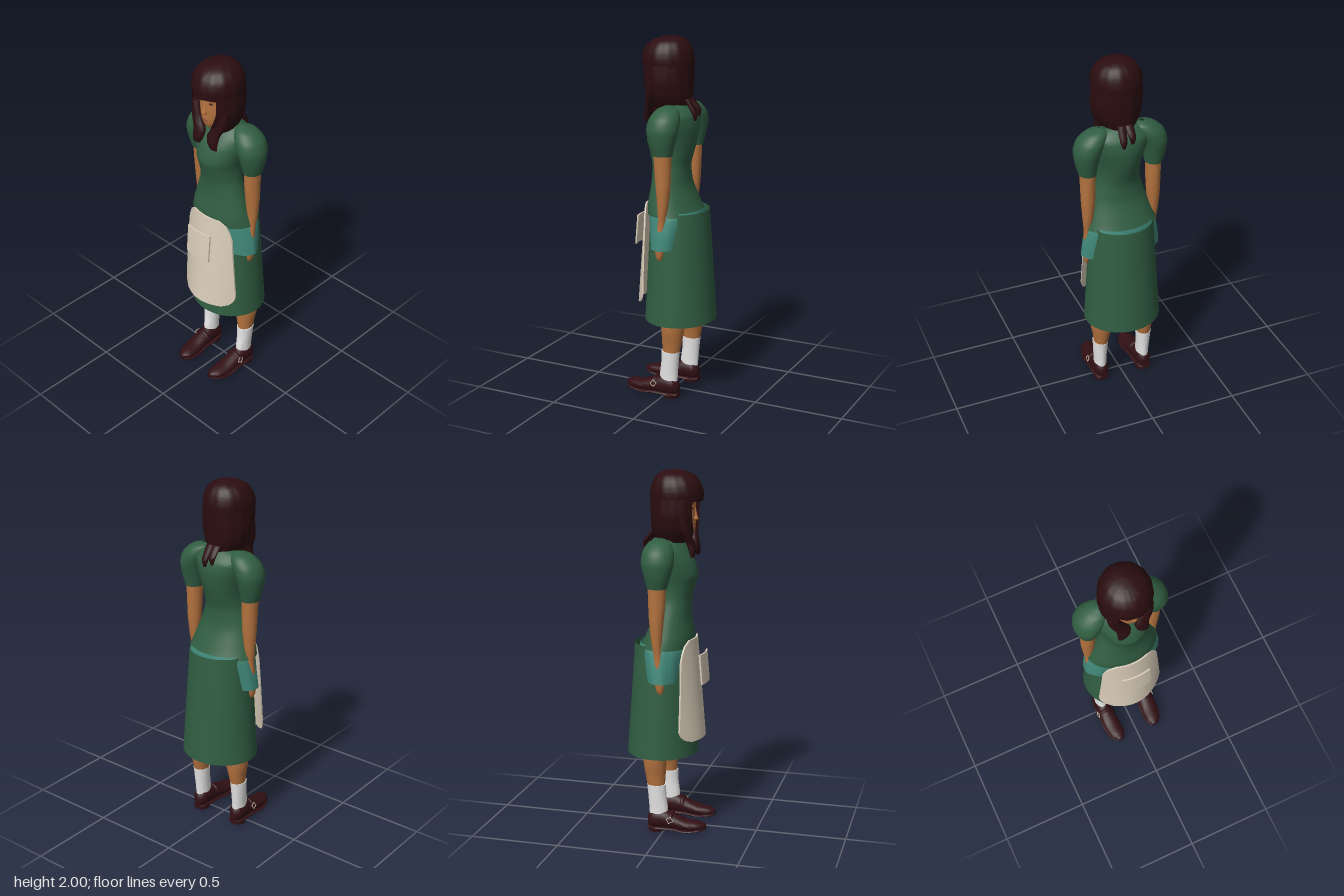
import * as THREE from 'three';
import { toCreasedNormals } from 'three/addons/utils/BufferGeometryUtils.js';

const material = (name, color, side = THREE.FrontSide) => {
  const m = new THREE.MeshStandardMaterial({ color, side });
  m.name = name;
  return m;
};

// Smooth loft through elliptical sections [y, cx, cz, rx, rz, gap], listed bottom to top.
// gap is the half angle left open at the front; ripple adds strand ridges.
function loft(sections, { n = 28, cap = true, ripple = 0, steps = 5 } = {}) {
  const centre = new THREE.CatmullRomCurve3(sections.map(s => new THREE.Vector3(s[1], s[0], s[2])), false, 'catmullrom', 0.4);
  const size = new THREE.CatmullRomCurve3(sections.map(s => new THREE.Vector3(s[3], s[4], s[5] || 0)), false, 'catmullrom', 0.4);
  const rows = (sections.length - 1) * steps;
  const open = sections.some(s => s[5]);
  const pos = [], index = [];
  for (let j = 0; j <= rows; j++) {
    const c = centre.getPoint(j / rows), r = size.getPoint(j / rows);
    for (let i = 0; i <= n; i++) {
      const k = open ? i : i % n;
      const a = r.z + (k / n) * (2 * Math.PI - 2 * r.z);
      const f = 1 + ripple * Math.sin(a * 13 + j * 0.12);
      pos.push(c.x + Math.sin(a) * r.x * f, c.y, c.z + Math.cos(a) * r.y * f);
    }
  }
  const w = n + 1;
  for (let j = 0; j < rows; j++) for (let i = 0; i < n; i++) {
    const a = j * w + i;
    index.push(a, a + 1, a + w + 1, a, a + w + 1, a + w);
  }
  if (cap && !open) {
    for (const [j, flip] of [[0, true], [rows, false]]) {
      const c = centre.getPoint(j / rows), m = pos.length / 3;
      pos.push(c.x, c.y, c.z);
      for (let i = 0; i < n; i++) {
        const a = j * w + i;
        index.push(m, flip ? a + 1 : a, flip ? a : a + 1);
      }
    }
  }
  const g = new THREE.BufferGeometry();
  g.setAttribute('position', new THREE.Float32BufferAttribute(pos, 3));
  g.setIndex(index);
  return toCreasedNormals(g, 0.9);
}

// Piecewise linear lookup in [[t, value], ...]
function lookup(table, t) {
  let i = 1;
  while (i < table.length - 1 && table[i][0] < t) i++;
  const [a, b] = [table[i - 1], table[i]];
  return THREE.MathUtils.mapLinear(t, a[0], b[0], a[1], b[1]);
}

// Thin curved cloth panel shaped by rule(u, v) -> [x, y, z], u in -1..1, v in 0..1
function panel(thickness, rule) {
  const g = new THREE.BoxGeometry(2, 1, thickness, 24, 40, 1), p = g.attributes.position;
  for (let i = 0; i < p.count; i++) {
    const [x, y, z] = rule(p.getX(i), p.getY(i) + 0.5);
    p.setXYZ(i, x, y, z + p.getZ(i));
  }
  return toCreasedNormals(g, 0.7);
}

export function createModel() {
  const root = new THREE.Group();
  root.name = 'woman';
  const green = material('greenCloth', 0x315e42, THREE.DoubleSide);
  const skin = material('skin', 0xb5733f);
  const hair = material('darkHair', 0x2b0d10, THREE.DoubleSide);
  const leather = material('shoeLeather', 0x321014);
  const cream = material('apronCream', 0xdacdb9);
  const teal = material('tealCloth', 0x41897a, THREE.DoubleSide);
  const white = material('sockWhite', 0xf0f0f0);
  const lips = material('lips', 0x934f3a);
  const metal = material('buckleMetal', 0xc9bda4);

  const add = (name, geometry, mat, parent = root) => {
    const m = new THREE.Mesh(geometry, mat);
    m.name = name;
    parent.add(m);
    return m;
  };

  // Clothes: open skirt, teal underlayer and fitted blouse
  add('skirt', loft([[0.435, 0, -0.04, 0.218, 0.196], [1.06, 0, -0.035, 0.177, 0.158]], { n: 56, cap: false }), green);
  add('underlayer', loft([
    [0.865, 0, -0.01, 0.228, 0.11], [0.95, 0, -0.015, 0.217, 0.125],
    [1.03, 0, -0.02, 0.2, 0.142], [1.065, 0, -0.02, 0.185, 0.138],
  ], { n: 48, cap: false, ripple: 0.012 }), teal);
  add('blouse', loft([
    [1.045, 0, -0.012, 0.206, 0.143], [1.1, 0, 0.002, 0.188, 0.131], [1.2, 0, 0.014, 0.153, 0.104],
    [1.3, 0, 0.017, 0.121, 0.103], [1.38, 0, 0.016, 0.118, 0.124], [1.44, 0, 0.015, 0.13, 0.139],
    [1.52, 0, -0.002, 0.152, 0.133], [1.58, 0, -0.018, 0.158, 0.108], [1.62, 0, -0.02, 0.12, 0.075],
    [1.645, 0, -0.018, 0.068, 0.052],
  ], { n: 40, cap: false }), green);

  // Apron and its floating pocket
  const width = [[0, 0.13], [0.025, 0.165], [0.06, 0.184], [0.12, 0.193], [0.8, 0.163], [0.88, 0.15], [0.95, 0.13], [1, 0.09]];
  add('apron', panel(0.009, (u, v) => {
    const x = u * lookup(width, v);
    return [x, 0.53 + 0.56 * v, 0.195 - 0.05 * v - (2.4 - 0.5 * v) * x * x];
  }), cream);
  add('apronPocket', panel(0.009, (u, v) => {
    const x = u * 0.083;
    return [x - 0.002, 0.845 + 0.165 * v, 0.212 - 0.014 * v - 1.6 * x * x];
  }), cream);

  // Head and face
  add('neck', loft([[1.57, 0, -0.02, 0.06, 0.05], [1.63, 0, -0.012, 0.046, 0.046], [1.74, 0, 0.015, 0.046, 0.05]]), skin);
  add('head', loft([
    [1.637, 0, 0.09, 0.02, 0.022], [1.655, 0, 0.083, 0.042, 0.045], [1.69, 0, 0.068, 0.064, 0.07],
    [1.74, 0, 0.05, 0.083, 0.09], [1.81, 0, 0.04, 0.095, 0.1], [1.9, 0, 0.038, 0.098, 0.108],
  ]), skin);
  add('nose', loft([[1.728, 0, 0.138, 0.008, 0.006], [1.738, 0, 0.14, 0.016, 0.017], [1.76, 0, 0.138, 0.01, 0.012], [1.8, 0, 0.136, 0.006, 0.005]], { n: 12 }), skin);
  const ball = (x, y, z, sx, sy, sz) => new THREE.SphereGeometry(1, 16, 10).scale(sx, sy, sz).translate(x, y, z);
  add('mouth', ball(0, 1.695, 0.136, 0.024, 0.006, 0.005), lips);

  // Hair: cap with fringe, side and back curtain, loose ends
  add('hairCap', loft([
    [1.835, 0, 0.037, 0.133, 0.141], [1.88, 0, 0.038, 0.136, 0.143], [1.93, 0, 0.036, 0.125, 0.13],
    [1.97, 0, 0.03, 0.095, 0.1], [1.992, 0, 0.022, 0.05, 0.056], [2, 0, 0.02, 0.004, 0.004],
  ], { n: 64, ripple: 0.012 }), hair);
  add('hairCurtain', loft([
    [1.615, 0, 0.02, 0.08, 0.095, 0.3], [1.65, 0, 0.025, 0.1, 0.115, 0.35], [1.69, 0, 0.03, 0.122, 0.128, 0.5],
    [1.76, 0, 0.035, 0.137, 0.137, 0.66], [1.85, 0, 0.037, 0.136, 0.141, 0.7],
  ], { n: 64, ripple: 0.012 }), hair);
  for (const [x, y] of [[-0.022, 1.575], [0.026, 1.555]]) {
    add('backLock', loft([[y, x, -0.135, 0.008, 0.006], [y + 0.04, x, -0.13, 0.02, 0.014], [1.67, x * 0.8, -0.085, 0.025, 0.018]], { n: 12 }), hair);
  }

  for (const s of [-1, 1]) {
    const side = new THREE.Group();
    side.name = s > 0 ? 'leftSide' : 'rightSide';
    root.add(side);
    // Sections given for the left are moved across for the right
    const limb = (name, list, mat, options) =>
      add(name, loft(list.map(([y, x, ...rest]) => [y, x * s, ...rest]), options), mat, side);

    // Face details and front hair
    add('eye', ball(s * 0.036, 1.797, 0.131, 0.015, 0.005, 0.005), hair, side);
    add('eyebrow', ball(s * 0.038, 1.822, 0.131, 0.02, 0.004, 0.005), hair, side);
    limb('frontLock', [
      [1.54, 0.062, 0.14, 0.024, 0.01], [1.575, 0.052, 0.137, 0.034, 0.018], [1.62, 0.052, 0.125, 0.038, 0.022],
      [1.68, 0.085, 0.105, 0.032, 0.028], [1.76, 0.105, 0.09, 0.022, 0.03],
    ], hair, { n: 20, ripple: 0.05 });

    // Puffed sleeve, arm and hand
    limb('sleeve', [
      [1.385, 0.19, -0.022, 0.048, 0.054], [1.45, 0.193, -0.02, 0.062, 0.072], [1.52, 0.188, -0.02, 0.074, 0.088],
      [1.58, 0.164, -0.022, 0.079, 0.083], [1.625, 0.135, -0.024, 0.058, 0.056], [1.645, 0.118, -0.024, 0.012, 0.014],
    ], green, { cap: false });
    limb('arm', [
      [0.808, 0.194, -0.004, 0.01, 0.012], [0.83, 0.197, -0.005, 0.014, 0.021], [0.88, 0.199, -0.006, 0.018, 0.028],
      [0.95, 0.197, -0.01, 0.018, 0.026], [1.02, 0.193, -0.018, 0.021, 0.021], [1.1, 0.192, -0.024, 0.029, 0.029],
      [1.2, 0.19, -0.025, 0.038, 0.039], [1.3, 0.189, -0.023, 0.041, 0.046], [1.42, 0.19, -0.022, 0.044, 0.05],
    ], skin);

    // Leg and sock
    limb('leg', [
      [0.24, 0.133, -0.042, 0.037, 0.045], [0.32, 0.131, -0.048, 0.048, 0.056], [0.42, 0.127, -0.052, 0.068, 0.065],
      [0.65, 0.115, -0.045, 0.075, 0.075],
    ], skin);
    limb('sock', [
      [0.06, 0.132, -0.03, 0.035, 0.05], [0.13, 0.133, -0.03, 0.035, 0.053], [0.2, 0.134, -0.037, 0.039, 0.051],
      [0.272, 0.134, -0.042, 0.044, 0.053],
    ], white);

    // Shoe parts are lofted along their length, then laid down
    const lay = (name, list) => limb(name, list, leather).geometry.rotateX(Math.PI / 2);
    lay('shoe', [
      [-0.088, 0.132, -0.06, 0.022, 0.03], [-0.06, 0.132, -0.068, 0.042, 0.052], [0, 0.132, -0.07, 0.045, 0.056],
      [0.06, 0.13, -0.06, 0.048, 0.043], [0.13, 0.127, -0.046, 0.051, 0.031], [0.2, 0.121, -0.042, 0.042, 0.024],
      [0.236, 0.116, -0.042, 0.014, 0.012],
    ]);
    lay('sole', [
      [-0.09, 0.132, -0.02, 0.026, 0.01], [-0.05, 0.132, -0.02, 0.045, 0.011], [0.06, 0.13, -0.022, 0.05, 0.01],
      [0.13, 0.127, -0.016, 0.055, 0.01], [0.2, 0.121, -0.022, 0.045, 0.01], [0.236, 0.116, -0.03, 0.018, 0.008],
    ]);
    add('heel', new THREE.CylinderGeometry(0.045, 0.042, 0.025, 20).translate(s * 0.132, 0.0125, -0.043), leather, side);
    add('strap', new THREE.TorusGeometry(0.044, 0.009, 8, 20, Math.PI).scale(1, 0.9, 1.4).translate(s * 0.131, 0.068, 0.045), leather, side);
    const buckle = add('buckle', new THREE.TorusGeometry(0.019, 0.003, 6, 4).rotateZ(0.25).rotateY(Math.PI / 2), metal, side);
    buckle.position.set(s * 0.181, 0.08, 0.045);
    buckle.rotation.z = s * 0.2;
  }
  return root;
}
